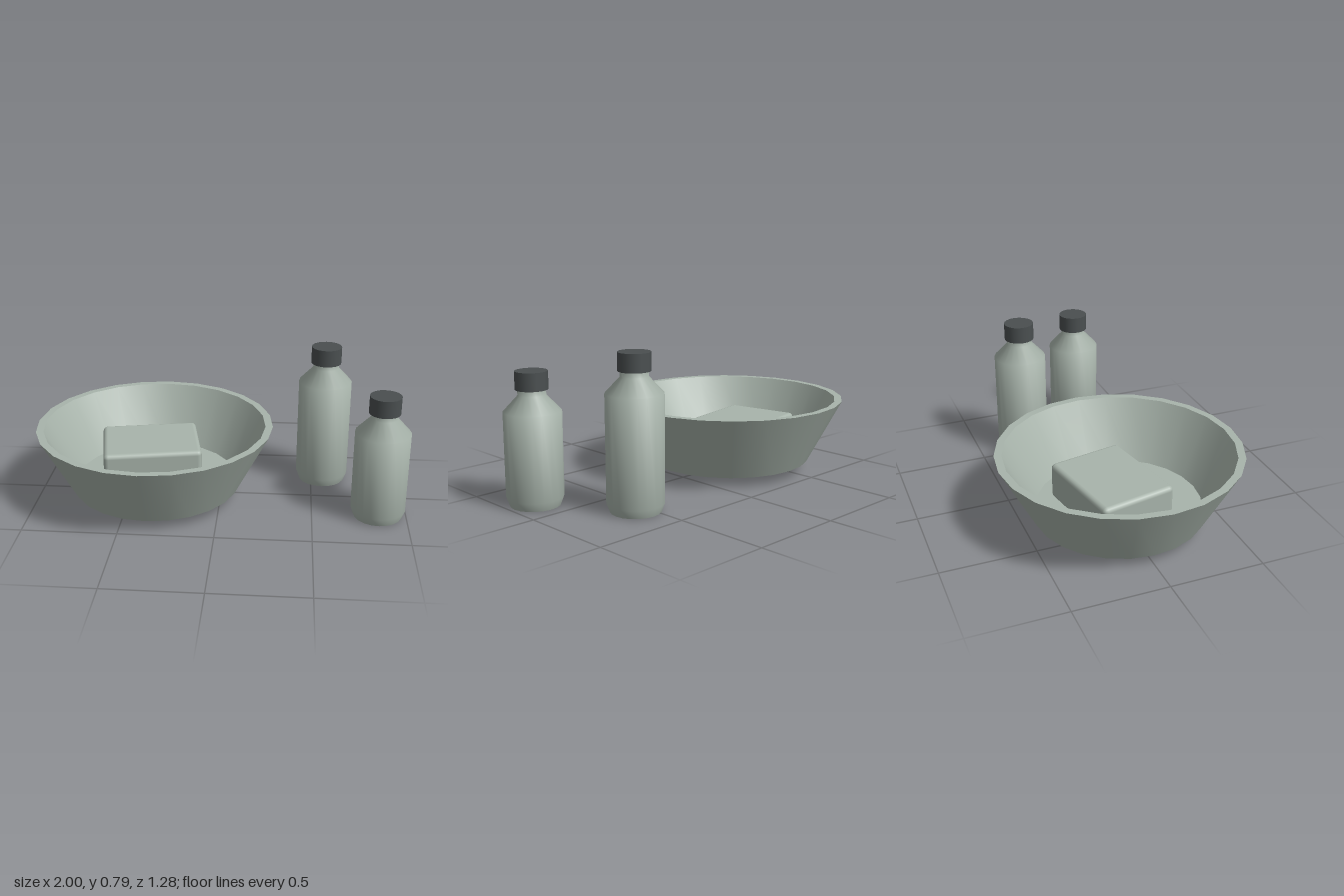
import * as THREE from 'three';
import { toCreasedNormals } from 'three/addons/utils/BufferGeometryUtils.js';
import { RoundedBoxGeometry } from 'three/addons/geometries/RoundedBoxGeometry.js';

const plastic = new THREE.MeshStandardMaterial({ color: 0xa8b4ab });
plastic.name = 'pale grey green';
const dark = new THREE.MeshStandardMaterial({ color: 0x4a4f50 });
dark.name = 'dark grey';

function part(name, geometry, material, parent) {
  const mesh = new THREE.Mesh(geometry, material);
  mesh.name = name;
  parent.add(mesh);
  return mesh;
}

// Turned form: soft shoulders, sharp rims and bases
function turned(profile, sides) {
  const points = profile.map(([r, y]) => new THREE.Vector2(r, y));
  return toCreasedNormals(new THREE.LatheGeometry(points, sides), 0.9);
}

// Bottle with chamfered base, sloping shoulder, neck and cap
function bottle(name, x, z, shoulderY) {
  const group = new THREE.Group();
  group.name = name;
  group.position.set(x, 0, z);
  const neckY = shoulderY + 0.08;
  const capY = shoulderY + 0.108;
  part('bottleBody', turned([
    [0, 0], [0.128, 0], [0.145, 0.045], [0.145, shoulderY],
    [0.07, neckY], [0.07, capY + 0.01], [0, capY + 0.01],
  ], 20), plastic, group);
  const capHeight = 0.092;
  part('bottleCap', new THREE.CylinderGeometry(0.082, 0.082, capHeight, 20), dark, group)
    .position.y = capY + capHeight / 2;
  return group;
}

export function createModel() {
  const model = new THREE.Group();
  model.name = 'washSet';

  // Thick-walled wash basin
  const basin = part('basin', turned([
    [0, 0.055], [0.455, 0.055], [0.64, 0.407],
    [0.6, 0.407], [0.436, 0.09], [0, 0.09],
  ], 24), plastic, model);
  basin.position.x = -0.36;

  // Folded cloth lying in the basin
  const cloth = part('foldedCloth', new RoundedBoxGeometry(0.53, 0.2, 0.415, 2, 0.025), plastic, model);
  cloth.position.set(-0.395, 0.19, -0.06);
  cloth.rotation.y = 0.19;

  model.add(bottle('tallBottle', 0.56, -0.24, 0.59));
  model.add(bottle('shortBottle', 0.85, 0.19, 0.48));
  return model;
}
